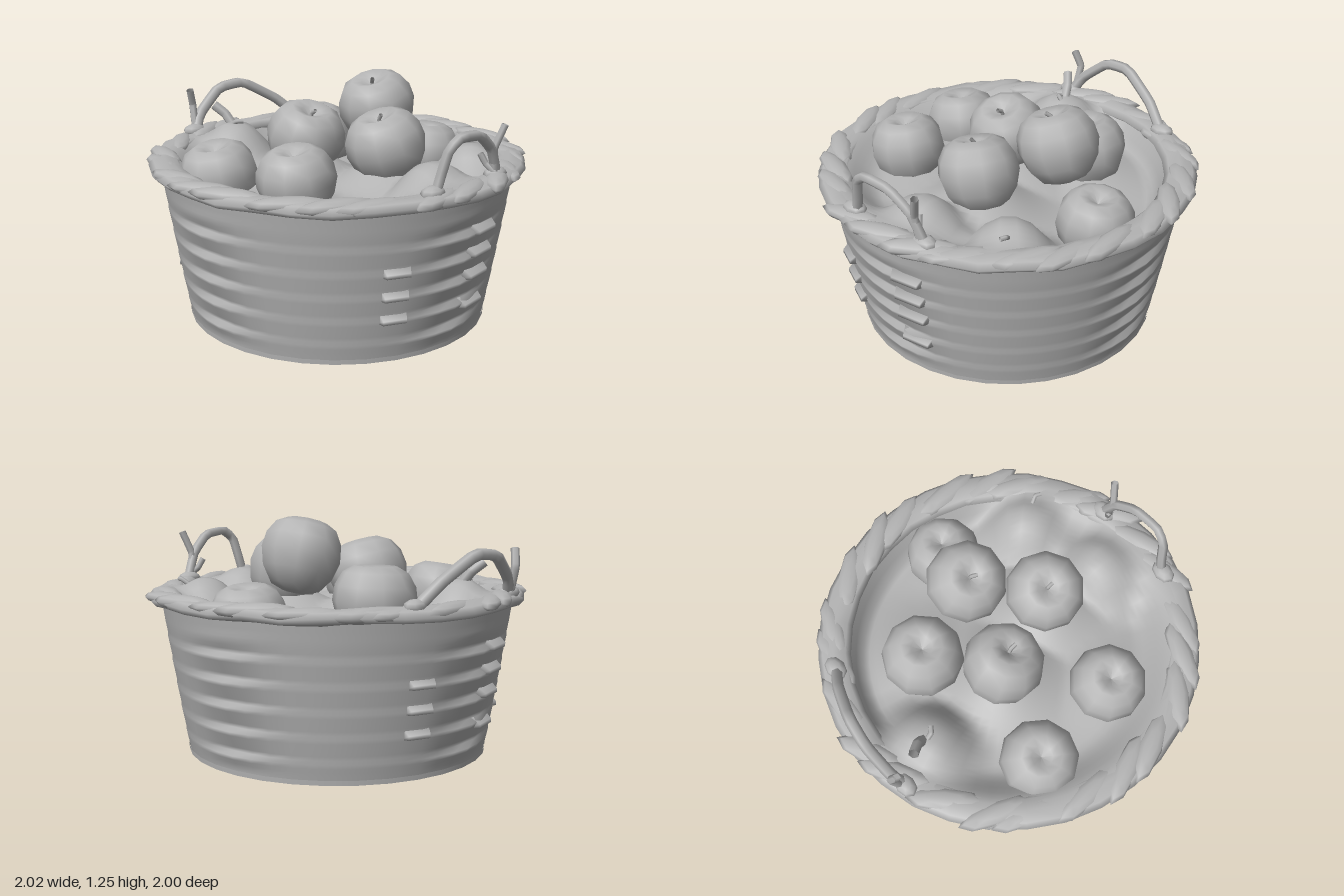
import * as THREE from 'three';
import { mergeVertices } from 'three/addons/utils/BufferGeometryUtils.js';

const V = (x, y, z) => new THREE.Vector3(x, y, z);
const { smoothstep, lerp, degToRad } = THREE.MathUtils;

// Moves every vertex by a rule, then welds seams and smooths the normals.
function shape(geometry, rule) {
  const p = geometry.attributes.position;
  const v = new THREE.Vector3();
  for (let i = 0; i < p.count; i++) {
    v.fromBufferAttribute(p, i);
    rule(v);
    p.setXYZ(i, v.x, v.y, v.z);
  }
  geometry.deleteAttribute('uv');
  geometry.deleteAttribute('normal');
  const welded = mergeVertices(geometry, 1e-4);
  welded.computeVertexNormals();
  return welded;
}

// Loose apples: x, centre height, z, radius, lean in x, lean in z, has stem
const APPLES = [
  [-0.02, 1.04, -0.325, 0.21, 0.0, 0.32, true],
  [-0.40, 0.82, -0.21, 0.215, 0.0, 0.05, false],
  [-0.13, 0.92, 0.11, 0.21, 0.35, 0.15, true],
  [0.295, 0.92, -0.07, 0.21, -0.15, 0.2, true],
  [0.06, 0.74, -0.63, 0.20, 0.0, -0.1, false],
  [-0.27, 0.77, 0.575, 0.205, -0.1, 0.1, false],
  [0.24, 0.835, 0.50, 0.20, 0.0, 0.15, false],
];
// Covered fruit showing as lumps: x, top height, z
const LUMPS = [[0.53, 0.91, -0.48], [0.67, 0.92, -0.03], [-0.67, 0.93, 0.17]];

// Height of the cloth lining: hollow between the fruit, rising to the rim
function liningHeight(x, z) {
  const base = 0.69 + 0.06 * z;
  let h = base;
  const raise = (top, d, width, power) => {
    h = Math.max(h, base + (top - base) * Math.exp(-Math.pow(d / width, power)));
  };
  APPLES.slice(1).forEach(([ax, ay, az]) => raise(ay - 0.06, Math.hypot(x - ax, z - az), 0.27, 2));
  LUMPS.forEach(([lx, top, lz]) => raise(top, Math.hypot(x - lx, z - lz), 0.22, 3));
  const front = smoothstep(z + 0.5 * x, -0.6, 0.3);
  const edge = smoothstep(Math.hypot(x, z), lerp(0.75, 0.66, front), 0.88);
  return lerp(h, 0.86, edge);
}

// Plain flare of the wall
const wallRadius = (y) => 0.79 + 0.14 * Math.pow(y / 0.82, 0.9);

export function createModel() {
  const group = new THREE.Group();
  group.name = 'appleBasket';
  const grey = new THREE.MeshStandardMaterial({ color: 0xb4b4b4, side: THREE.DoubleSide });
  grey.name = 'plain grey';

  const add = (name, geometry, parent = group) => {
    const mesh = new THREE.Mesh(geometry, grey);
    mesh.name = name;
    parent.add(mesh);
    return mesh;
  };
  const tube = (name, points, radius, parent = group) => {
    const curve = new THREE.CatmullRomCurve3(points, false, 'catmullrom', 0.15);
    return add(name, new THREE.TubeGeometry(curve, 18, radius, 6), parent);
  };

  // Flared wall with faint ridges that deepen on the four sides
  add('basketWall', shape(new THREE.CylinderGeometry(1, 1, 0.82, 48, 39, true), (v) => {
    const a = Math.atan2(v.z, v.x);
    const y = v.y + 0.41;
    const ridge = ((y / 0.125 + 0.05) % 1) - 0.5;
    const depth = 0.004 + 0.036 * Math.pow(Math.abs(Math.cos(2 * a)), 10);
    const fade = smoothstep(y, 0, 0.06) * (1 - smoothstep(y, 0.66, 0.74));
    const r = wallRadius(y) + ridge * depth * fade;
    v.set(Math.cos(a) * r, y, Math.sin(a) * r);
  }));
  const bottom = add('basketBottom', new THREE.CircleGeometry(0.795, 32));
  bottom.rotation.x = Math.PI / 2;
  const foot = add('footBand', new THREE.CylinderGeometry(0.8, 0.798, 0.025, 32, 1, true));
  foot.position.y = 0.0125;

  // Wedge-shaped weave ends on the sides: angle in degrees, width and heights
  const wedge = shape(new THREE.BoxGeometry(0.06, 0.07, 1), (v) => {
    if (v.x > 0) {
      v.x = 0.024;
      v.y = v.y > 0 ? -0.01 : -0.03;
      v.z *= 0.8;
    }
  });
  const weaves = [
    [-9, 0.19, [0.23, 0.39, 0.51, 0.63]], [25, 0.15, [0.25, 0.375, 0.5]],
    [171, 0.19, [0.23, 0.39, 0.51, 0.63]], [205, 0.15, [0.25, 0.375, 0.5]], [139, 0.15, [0.24]],
  ];
  weaves.forEach(([deg, width, heights]) => heights.forEach((y) => {
    const a = degToRad(deg);
    const block = add('weaveEnd', wedge);
    block.scale.z = width;
    block.position.set(Math.cos(a) * wallRadius(y), y, Math.sin(a) * wallRadius(y));
    block.rotation.y = -a;
  }));

  // Rim: a flat ring with overlapping twisted strands
  add('rimRing', shape(new THREE.TorusGeometry(0.905, 0.085, 8, 32), (v) => {
    v.set(v.x, 0.825 + v.z * 0.45 + 0.008 * Math.sin(v.x * 19 + v.y * 7), v.y);
  }));
  const strands = 24;
  for (let i = 0; i < strands; i++) {
    const a = ((i + 0.2 * Math.sin(i * 4.1)) / strands) * Math.PI * 2;
    const turn = 0.36 + 0.08 * Math.sin(i * 2.3);
    const strand = add('rimStrand', new THREE.SphereGeometry(1, 8, 6));
    const r = 0.905 + 0.008 * Math.sin(i * 1.7);
    strand.scale.set(0.2, 0.036 + 0.006 * Math.sin(i * 3.1), 0.06);
    strand.position.set(Math.cos(a) * r, 0.838 + 0.006 * Math.sin(i * 5.3), Math.sin(a) * r);
    const dx = Math.sin(a) * Math.cos(turn) - Math.cos(a) * Math.sin(turn);
    const dz = -Math.cos(a) * Math.cos(turn) - Math.sin(a) * Math.sin(turn);
    strand.rotation.y = Math.atan2(-dz, dx);
  }

  // Cloth lining draped around the fruit
  const disc = new THREE.RingGeometry(0, 0.9, 56, 28);
  disc.rotateX(-Math.PI / 2);
  add('lining', shape(disc, (v) => { v.y = liningHeight(v.x, v.z); }));

  // Apples with a wide dimple at the stem
  const outline = [
    [0.001, -0.74], [0.3, -0.86], [0.62, -0.74], [0.88, -0.38], [1, 0.05],
    [0.95, 0.42], [0.77, 0.73], [0.5, 0.88], [0.26, 0.8], [0.001, 0.62],
  ].map(([x, y]) => new THREE.Vector2(x, y));
  const appleShape = shape(new THREE.LatheGeometry(outline, 10), () => {});
  APPLES.forEach(([x, y, z, r, leanX, leanZ, stem], i) => {
    const apple = new THREE.Group();
    apple.name = 'apple';
    add('appleBody', appleShape, apple).scale.setScalar(r);
    if (stem) {
      tube('appleStem', [V(0, 0.11, 0), V(0.005, 0.16, 0), V(0.025, 0.185, 0.01)], 0.011, apple);
    }
    apple.position.set(x, y, z);
    apple.rotation.set(leanZ, i * 0.2, -leanX);
    group.add(apple);
  });

  // Twigs poking from the covered fruit
  tube('liningTwig', [V(-0.67, 0.9, 0.16), V(-0.72, 0.97, 0.18), V(-0.77, 1.02, 0.22)], 0.027);
  tube('liningTwig', [V(-0.68, 0.91, 0.18), V(-0.63, 0.94, 0.17), V(-0.61, 0.94, 0.14)], 0.014);
  tube('liningTwig', [V(0.58, 0.87, -0.52), V(0.62, 0.9, -0.54), V(0.65, 0.9, -0.53)], 0.012);

  // Bent branch handles with their twigs
  tube('leftHandle', [
    V(0.87, 0.83, 0.21), V(0.88, 0.94, 0.18), V(0.9, 1.06, 0.15), V(0.91, 1.11, 0.08),
    V(0.9, 1.095, -0.07), V(0.88, 1.0, -0.19), V(0.86, 0.83, -0.27),
  ], 0.026);
  tube('leftHandleTwig', [V(0.87, 0.86, -0.23), V(0.88, 1.0, -0.21), V(0.91, 1.12, -0.25)], 0.02);
  tube('leftHandleTwig', [V(0.88, 0.88, -0.22), V(0.84, 0.92, -0.2), V(0.82, 0.97, -0.18)], 0.016);
  tube('rightHandle', [
    V(-0.87, 0.83, 0.28), V(-0.91, 0.94, 0.22), V(-0.93, 1.07, 0.06),
    V(-0.91, 1.085, -0.1), V(-0.85, 0.97, -0.3), V(-0.78, 0.83, -0.45),
  ], 0.03);
  tube('rightHandleTwig', [V(-0.9, 0.88, 0.26), V(-0.93, 1.0, 0.25), V(-0.91, 1.09, 0.28)], 0.022);
  for (const [x, z] of [[0.87, 0.22], [0.86, -0.25], [-0.88, 0.28], [-0.79, -0.43]]) {
    const knot = add('handleKnot', new THREE.SphereGeometry(1, 8, 6));
    knot.position.set(x, 0.865, z);
    knot.scale.set(0.05, 0.035, 0.07);
  }
  return group;
}
